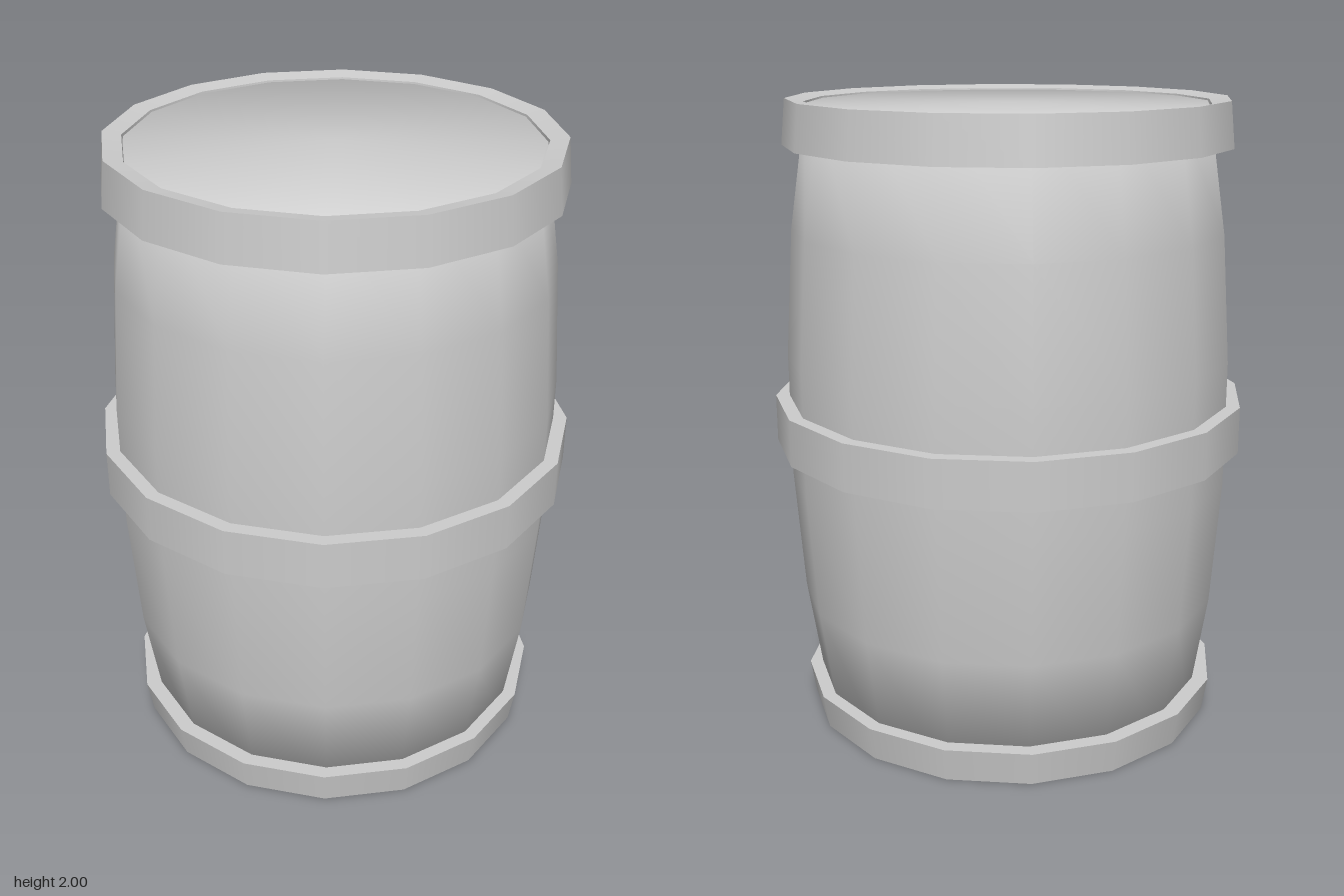
import * as THREE from 'three';
import { mergeGeometries } from 'three/addons/utils/BufferGeometryUtils.js';

const SIDES = 16;
const material = new THREE.MeshStandardMaterial({ color: 0xcccccc });

const lathe = (profile) =>
  new THREE.LatheGeometry(profile.map(([r, y]) => new THREE.Vector2(r, y)), SIDES);

// Smooth around the axis, sharp at every corner of the profile
function creasedLathe(profile) {
  const strips = [];
  for (let i = 0; i < profile.length - 1; i++) strips.push(lathe([profile[i], profile[i + 1]]));
  return mergeGeometries(strips);
}

function addPart(group, name, geometry, x = 0) {
  const mesh = new THREE.Mesh(geometry, material);
  mesh.name = name;
  mesh.position.x = x;
  group.add(mesh);
}

export function createModel() {
  const group = new THREE.Group();
  group.name = 'barrel';

  // Bulging body whose normals roll smoothly over the flat lid and base
  addPart(group, 'body', lathe([
    [0, 0.005], [0.625, 0.005], [0.685, 0.4], [0.713, 0.8],
    [0.713, 1.2], [0.685, 1.6], [0.627, 1.985], [0, 1.985],
  ]));

  // Closed hoop that forms the foot
  addPart(group, 'bottomHoop', creasedLathe([
    [0, 0], [0.67, 0], [0.688, 0.11], [0.635, 0.11],
  ]), -0.005);

  // Hoop around the widest part
  addPart(group, 'middleHoop', creasedLathe([
    [0.7, 0.91], [0.757, 0.91], [0.757, 1.06], [0.7, 1.06],
  ]));

  // Hoop around the top, with its rim just above the lid
  addPart(group, 'topHoop', creasedLathe([
    [0.635, 1.86], [0.704, 1.86], [0.69, 2], [0.632, 1.99], [0.63, 1.97],
  ]));

  return group;
}
